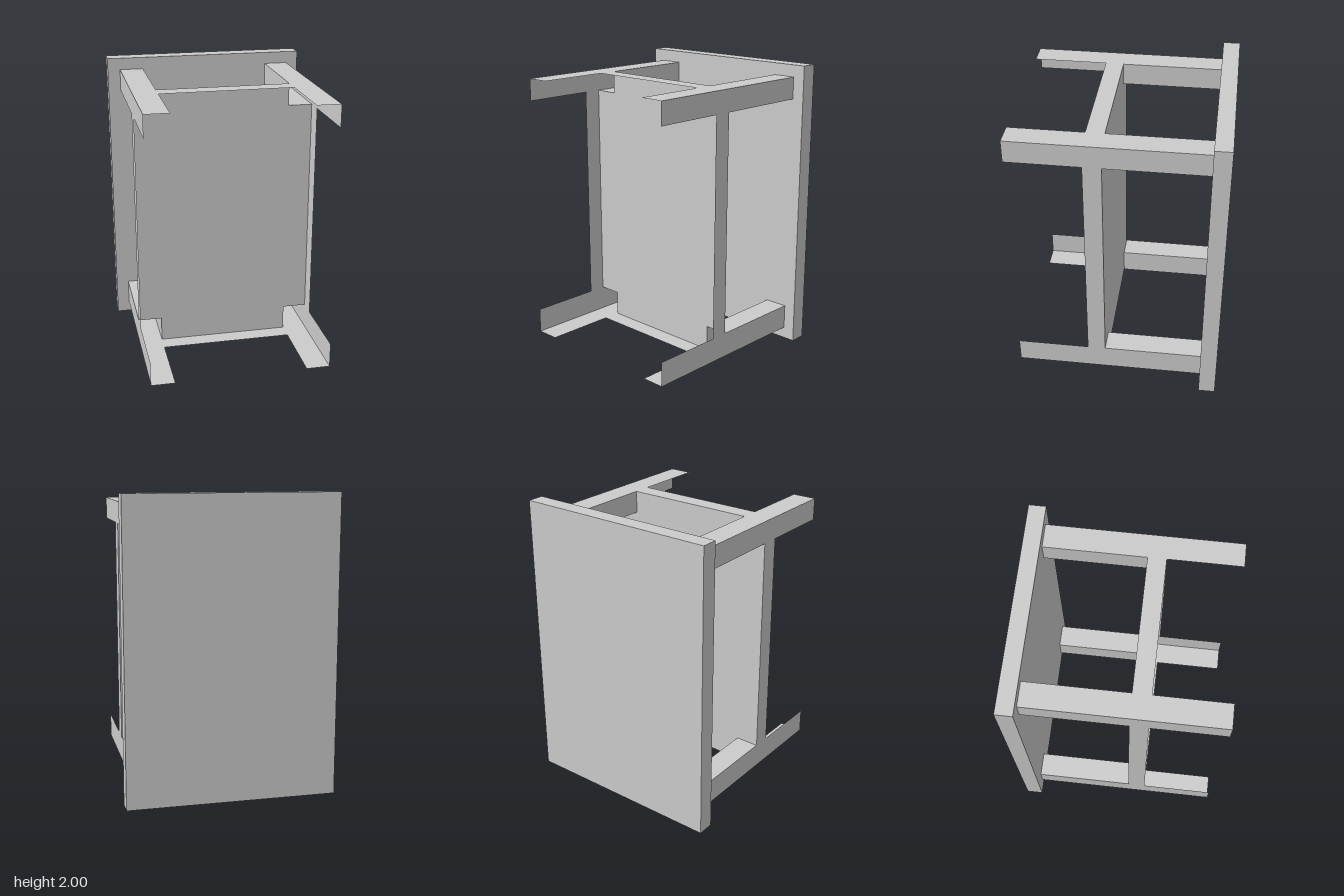
import * as THREE from 'three';
import { mergeGeometries } from 'three/addons/utils/BufferGeometryUtils.js';

const material = new THREE.MeshStandardMaterial({ color: 0xcccccc, flatShading: true, side: THREE.DoubleSide });

// Leg spans across the width and height, and depths along z
const spansX = [[-0.613, -0.45], [0.455, 0.617]];
const spansY = [[0.08, 0.25], [1.767, 1.918]];
const zTop = -0.585, zShelfBack = 0.085, zShelfFront = 0.207, zFoot = 0.698;

// Flat strip from point a to point b in xy, running from z0 to z1
function wall([ax, ay], [bx, by], z0, z1) {
  const g = new THREE.BufferGeometry();
  g.setAttribute('position', new THREE.Float32BufferAttribute(
    [ax, ay, z0, bx, by, z0, bx, by, z1, ax, ay, z1], 3));
  g.setIndex([0, 1, 2, 0, 2, 3]);
  g.computeVertexNormals();
  return g;
}

export function createModel() {
  const model = new THREE.Group();
  model.name = 'sidewaysTable';
  const add = (name, geometry) => {
    const mesh = new THREE.Mesh(geometry, material);
    mesh.name = name;
    model.add(mesh);
    return mesh;
  };

  // Table top, standing upright at the back
  add('tableTop', new THREE.BoxGeometry(1.4, 2, 0.113)).position.set(0, 1, -0.6415);

  // Hollow legs: outer walls reach the foot, inner walls stop at the shelf
  spansY.forEach(([y0, y1], j) => spansX.forEach(([x0, x1], i) => {
    const corners = [[x0, y0], [x1, y0], [x1, y1], [x0, y1]];
    const outer = [j === 0, i === 1, j === 1, i === 0];
    const walls = corners.map((c, k) =>
      wall(c, corners[(k + 1) % 4], zTop, outer[k] ? zFoot : zShelfBack));
    add(`${j ? 'upper' : 'lower'}${i ? 'Left' : 'Right'}Leg`, mergeGeometries(walls));
  }));

  // Shelf panel with its corners notched around the legs
  const [[xa, xb], [xc, xd]] = spansX;
  const [[ya, yb], [yc, yd]] = spansY;
  const outline = [
    [xb, ya], [xc, ya], [xc, yb], [xd, yb], [xd, yc], [xc, yc],
    [xc, yd], [xb, yd], [xb, yc], [xa, yc], [xa, yb], [xb, yb],
  ].map(([x, y]) => new THREE.Vector2(x, y));
  add('shelfPanel', new THREE.ShapeGeometry(new THREE.Shape(outline))).position.z = zShelfBack;

  // Open-fronted shelf rim between the legs
  const rim = [
    [[xb, ya], [xc, ya]], [[xd, yb], [xd, yc]],
    [[xc, yd], [xb, yd]], [[xa, yc], [xa, yb]],
  ].map(([a, b]) => wall(a, b, zShelfBack, zShelfFront));
  add('shelfRim', mergeGeometries(rim));

  return model;
}
